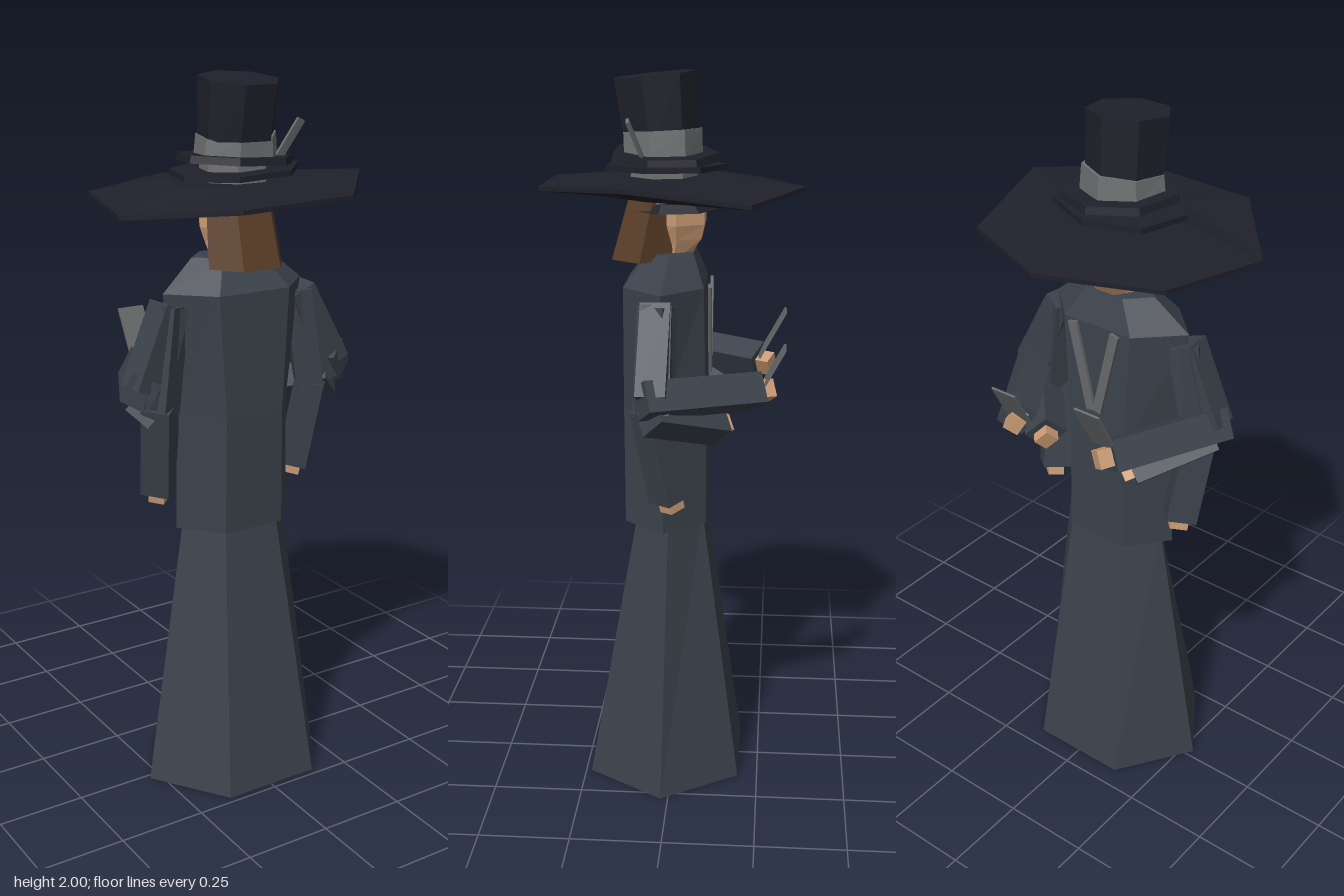
import * as THREE from 'three';

const mat = (name, color) => {
  const m = new THREE.MeshStandardMaterial({ color });
  m.name = name;
  return m;
};

// closed solid through rings of points, listed bottom to top
function loft(rings) {
  const p = [], n = rings[0].length;
  const mid = r => r.reduce((s, v) => s.map((c, i) => c + v[i] / n), [0, 0, 0]);
  const low = rings[0], high = rings[rings.length - 1];
  const cl = mid(low), ch = mid(high);
  for (let i = 0; i < n; i++) {
    const j = (i + 1) % n;
    for (let k = 0; k < rings.length - 1; k++) {
      const a = rings[k], b = rings[k + 1];
      p.push(...a[i], ...b[i], ...a[j], ...a[j], ...b[i], ...b[j]);
    }
    p.push(...cl, ...low[i], ...low[j], ...ch, ...high[j], ...high[i]);
  }
  const g = new THREE.BufferGeometry();
  g.setAttribute('position', new THREE.Float32BufferAttribute(p, 3));
  g.computeVertexNormals();
  return g;
}

// flat polygon ring; sx and sz tilt it
function ring(n, y, rx, rz, cx = 0, cz = 0, sx = 0, sz = 0) {
  const start = n === 7 ? -Math.PI / 2 : 0;
  return Array.from({ length: n }, (_, i) => {
    const a = start + i * 2 * Math.PI / n;
    const x = rx * Math.cos(a), z = rz * Math.sin(a);
    return [cx + x, y + sx * x + sz * z, cz + z];
  });
}

export function createModel() {
  const model = new THREE.Group();
  const coat = mat('slate cloth', 0x3b424b);
  const black = mat('hat black', 0x20202b);
  const grey = mat('hat band grey', 0x6f7172);
  const metal = mat('blade grey', 0x66686a);
  const brown = mat('hair brown', 0x5c3f28);
  const skin = mat('skin', 0xcb9c74);

  const add = (name, geo, m, parent = model) => {
    const mesh = new THREE.Mesh(geo, m);
    mesh.name = name;
    parent.add(mesh);
    return mesh;
  };
  // box running from a to b
  const bar = (name, a, b, w, d, m, parent) => {
    const A = new THREE.Vector3(...a), B = new THREE.Vector3(...b);
    const mesh = add(name, new THREE.BoxGeometry(w, A.distanceTo(B), d), m, parent);
    mesh.position.copy(A).add(B).multiplyScalar(0.5);
    mesh.quaternion.setFromUnitVectors(new THREE.Vector3(0, 1, 0), B.sub(A).normalize());
    return mesh;
  };

  // robe and coat
  add('skirt', loft([
    ring(6, 0.003, 0.285, 0.247, 0, 0.02),
    ring(6, 0.8, 0.163, 0.105, 0.01, 0.005),
  ]), coat);
  add('coat', loft([
    ring(6, 0.77, 0.185, 0.13, 0, 0.018),
    ring(6, 1.1, 0.18, 0.13, 0, 0.02),
    ring(6, 1.44, 0.22, 0.125, 0, 0.022),
    ring(6, 1.525, 0.12, 0.07, 0, 0.005),
  ]), coat);
  for (const s of [-1, 1]) {
    add('sole', new THREE.BoxGeometry(0.06, 0.008, 0.05), coat).position.set(s * 0.08, 0.004, 0);
    bar('lapel', [s * 0.01, 1.19, -0.1], [s * 0.07, 1.44, -0.1], 0.028, 0.009, metal);
  }

  // three layered arms on each side
  for (const s of [-1, 1]) {
    const out = s > 0 ? 0.025 : 0;
    const poses = [
      { name: 'hangingArm', elbow: [0.245, 1.12, 0.04], wrist: [0.225, 0.885, -0.005] },
      { name: 'forwardArm', elbow: [0.30 + out, 1.19, 0.035], wrist: [0.16, 1.175, -0.235] },
      { name: 'foldedArm', elbow: [0.275 + out, 1.14, 0.03], wrist: [0.15, 1.075, -0.13] },
    ];
    for (const { name, elbow, wrist } of poses) {
      const arm = new THREE.Group();
      arm.name = name;
      model.add(arm);
      const shoulder = [s * 0.205, 1.41, 0.03];
      const e = [s * elbow[0], elbow[1], elbow[2]];
      const w = [s * wrist[0], wrist[1], wrist[2]];
      bar('upperSleeve', shoulder, e, 0.075, 0.08, coat, arm);
      bar('lowerSleeve', e.map((v, i) => v + (e[i] - w[i]) * 0.1), w, 0.08, 0.085, coat, arm);
      const tip = w.map((v, i) => v + (v - e[i]) * 0.13);
      bar('hand', w, tip, 0.045, 0.05, skin, arm);
      if (name === 'forwardArm') {
        const plate = add('blade', new THREE.BoxGeometry(0.08, 0.15, 0.006), metal, arm);
        plate.position.set(s * 0.14, s > 0 ? 1.225 : 1.265, -0.27);
        plate.rotation.x = -0.5;
      }
    }
  }

  // head and hair
  add('head', loft([
    ring(6, 1.5, 0.05, 0.04, 0, 0),
    ring(6, 1.56, 0.07, 0.075, 0, -0.01),
    ring(6, 1.6, 0.085, 0.085, 0, -0.01),
    ring(6, 1.7, 0.09, 0.085, 0, -0.01),
  ]), skin);
  add('hair', loft([
    ring(6, 1.505, 0.115, 0.092, 0, 0.085),
    ring(6, 1.7, 0.1, 0.075, 0, 0.045),
  ]), brown);

  // hat: irregular wide brim with stacked tilted layers
  const edge = [1.685, 1.675, 1.722, 1.70, 1.69, 1.66, 1.675];
  const brimRing = ring(7, 0, 0.383, 0.366, -0.01, 0.014);
  const lift = dy => brimRing.map(([x, , z], i) => [x, edge[i] + dy, z]);
  add('brim', loft([
    ring(7, 1.68, 0.2, 0.19, 0, 0.02), lift(0), lift(0.012),
    ring(7, 1.725, 0.18, 0.17, 0, 0.02),
  ]), black);
  add('underBrim', loft([
    ring(7, 1.638, 0.135, 0.125, 0, 0.005),
    ring(7, 1.66, 0.11, 0.1, 0, 0.005),
  ]), black);
  add('hatCore', loft([
    ring(7, 1.65, 0.1, 0.095, 0, 0.03), ring(7, 1.8, 0.095, 0.09, 0, 0.03),
  ]), grey);
  add('lowerRim', loft([
    ring(7, 1.742, 0.183, 0.165, 0.003, 0.025, 0.04, 0),
    ring(7, 1.757, 0.183, 0.165, 0.003, 0.025, 0.04, 0),
  ]), black);
  add('upperRim', loft([
    ring(7, 1.77, 0.165, 0.15, 0.005, 0.025, -0.06, 0.03),
    ring(7, 1.79, 0.16, 0.145, 0.005, 0.025, -0.06, 0.03),
  ]), black);
  add('hatBand', loft([
    ring(7, 1.785, 0.117, 0.108, 0.003, 0.032, 0, 0),
    ring(7, 1.845, 0.11, 0.108, 0.003, 0.034, 0.05, -0.05),
  ]), grey);
  add('crown', loft([
    ring(7, 1.78, 0.103, 0.1, 0, 0.032),
    ring(7, 1.988, 0.107, 0.115, 0, 0.052, 0, -0.1),
  ]), black);
  bar('hatPin', [0.1, 1.765, 0.07], [0.155, 1.88, 0.11], 0.024, 0.008, grey);

  return model;
}
